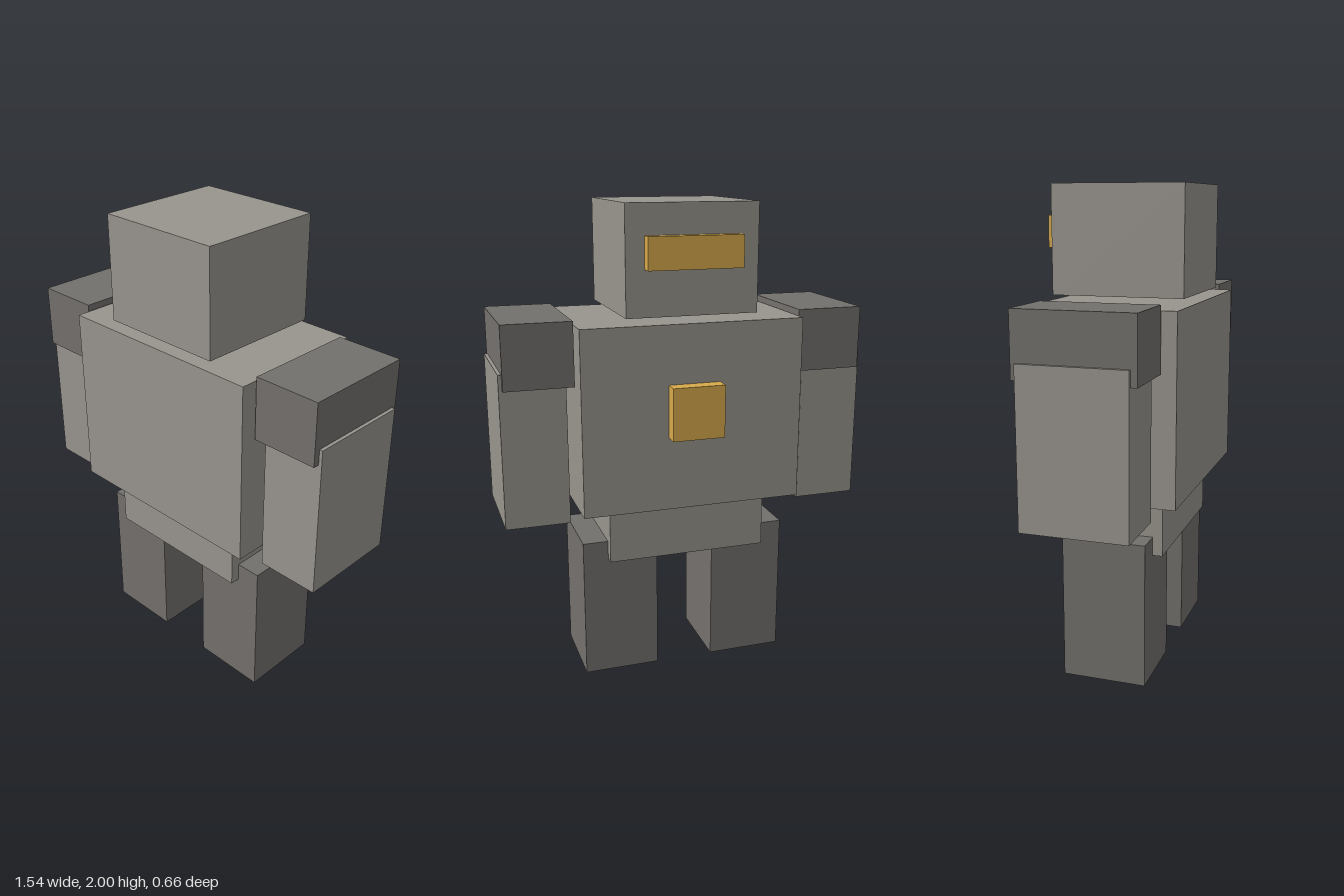
import * as THREE from 'three';

export function createModel() {
  const model = new THREE.Group();
  model.name = 'blockRobot';

  const mat = (color) => new THREE.MeshStandardMaterial({ color, flatShading: true });
  const light = mat(0x98948d);
  const dark = mat(0x73706c);
  const gold = mat(0xd6aa4b);

  // Box given by its extents along x, y and z
  function block(name, material, [x0, x1], [y0, y1], [z0, z1]) {
    const mesh = new THREE.Mesh(new THREE.BoxGeometry(x1 - x0, y1 - y0, z1 - z0), material);
    mesh.position.set((x0 + x1) / 2, (y0 + y1) / 2, (z0 + z1) / 2);
    mesh.name = name;
    model.add(mesh);
  }

  // Mirrored pair of boxes, left on +x
  function pair(name, material, [x0, x1], y, z) {
    block('left' + name, material, [x0, x1], y, z);
    block('right' + name, material, [-x1, -x0], y, z);
  }

  // Body
  block('head', light, [-0.273, 0.273], [1.563, 2], [-0.241, 0.304]);
  block('torso', light, [-0.465, 0.465], [0.77, 1.537], [-0.27, 0.332]);
  block('pelvis', light, [-0.341, 0.341], [0.528, 0.77], [-0.188, 0.246]);

  // Limbs
  pair('Shoulder', dark, [0.475, 0.756], [1.3, 1.56], [-0.209, 0.272]);
  pair('Arm', light, [0.505, 0.77], [0.727, 1.364], [-0.188, 0.246]);
  pair('Leg', dark, [0.125, 0.448], [0, 0.606], [-0.145, 0.205]);

  // Raised panels on the -z side
  block('visor', gold, [-0.196, 0.196], [1.748, 1.877], [-0.287, -0.241]);
  block('chestPanel', gold, [-0.109, 0.109], [1.077, 1.295], [-0.332, -0.27]);

  return model;
}
